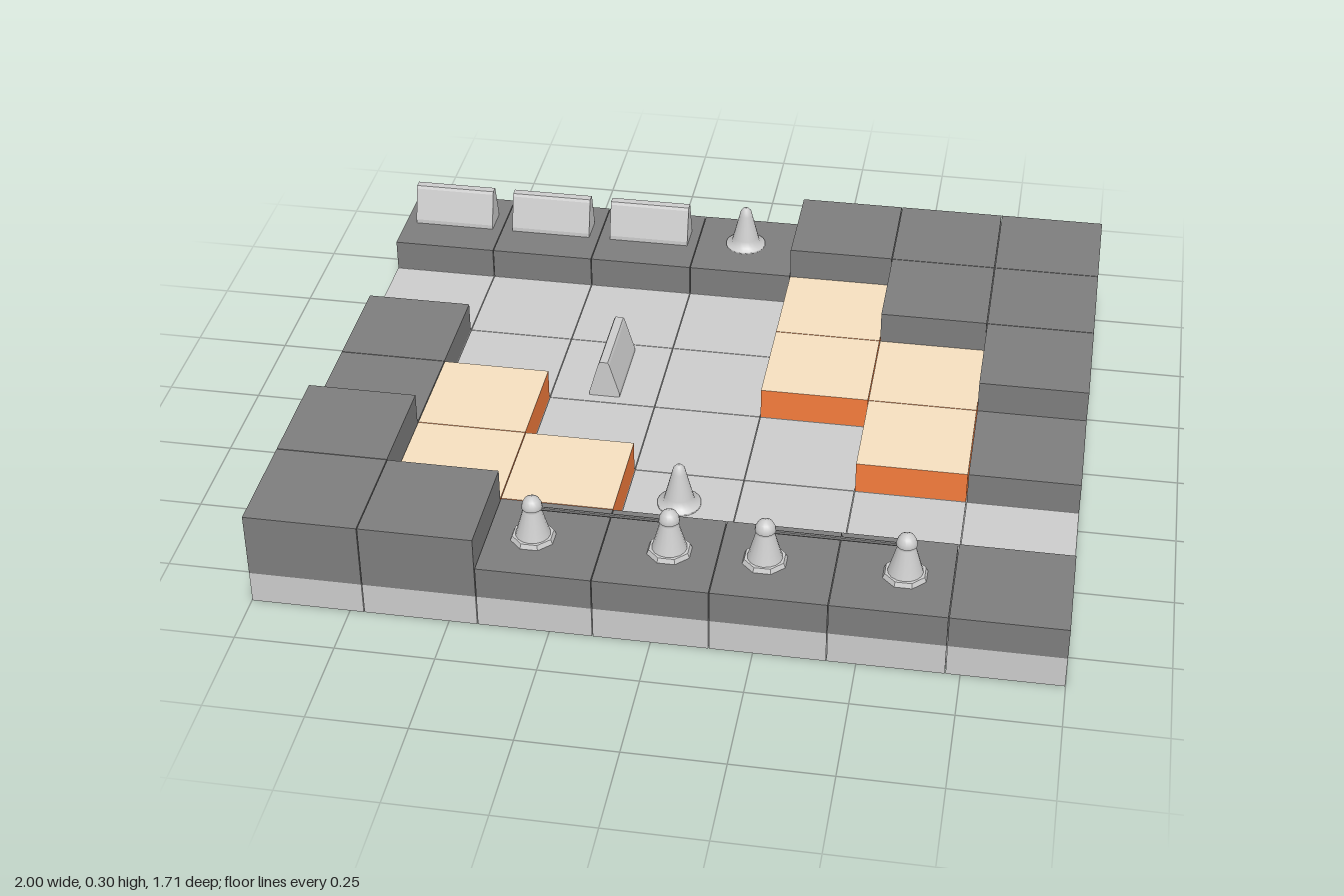
import * as THREE from 'three';

const CELL = 2 / 7, LAYER = 0.086, COLS = 7, ROWS = 6;

// Board seen from above, back row first: . floor, s sand, 2 low wall, 3 high wall
const BOARD = [
  '2222333',
  '....s33',
  '2...ss3',
  '2s...s2',
  '3ss....',
  '3322222',
];

const mat = (color) => new THREE.MeshStandardMaterial({ color, flatShading: true });
const light = mat(0xcccccc);
const dark = mat(0x7d7d7d);
const sand = mat(0xf5dfbf);
const orange = mat(0xf47c3c);
const smooth = new THREE.MeshStandardMaterial({ color: 0xcccccc });

function add(parent, name, geometry, material, x = 0, y = 0, z = 0) {
  const mesh = new THREE.Mesh(geometry, material);
  mesh.name = name;
  mesh.position.set(x, y, z);
  parent.add(mesh);
  return mesh;
}

const lathe = (points, sides) =>
  new THREE.LatheGeometry(points.map(([r, y]) => new THREE.Vector2(r, y)), sides);

// Stackable tiles, one column of boxes per board cell
function makeBoard(group) {
  const box = new THREE.BoxGeometry(CELL - 0.002, LAYER, CELL - 0.002);
  const sandMats = [orange, orange, sand, orange, orange, orange];
  for (let r = 0; r < ROWS; r++) {
    for (let c = 0; c < COLS; c++) {
      const kind = BOARD[r][c];
      const x = (c - (COLS - 1) / 2) * CELL;
      const z = (r - (ROWS - 1) / 2) * CELL;
      add(group, 'floorTile', box, light, x, LAYER / 2, z);
      if (kind === 's') add(group, 'sandTile', box, sandMats, x, LAYER * 1.5, z);
      const levels = kind === '2' || kind === '3' ? Number(kind) : 1;
      for (let i = 1; i < levels; i++) {
        add(group, 'wallBlock', box, dark, x, LAYER * (i + 0.5), z);
      }
    }
  }
}

// Traffic cone: round flange, tapered body, rounded tip
const coneGeometry = lathe([
  [0, 0], [0.056, 0], [0.056, 0.008], [0.041, 0.011], [0.036, 0.03],
  [0.018, 0.1], [0.015, 0.113], [0.008, 0.121], [0, 0.123],
], 20);

// Barrier post: eight-sided foot, tapered stem and domed cap
const footGeometry = new THREE.CylinderGeometry(0.052, 0.057, 0.012, 8);
const stemGeometry = lathe([
  [0.044, 0.01], [0.038, 0.03], [0.023, 0.084], [0.023, 0.09],
  [0.026, 0.092], [0.024, 0.104], [0.018, 0.115], [0.009, 0.121], [0, 0.123],
], 16);

function makePost(x, y, z) {
  const post = new THREE.Group();
  post.name = 'barrierPost';
  add(post, 'postFoot', footGeometry, light, 0, 0.006, 0).rotation.y = Math.PI / 8;
  add(post, 'postStem', stemGeometry, smooth);
  post.position.set(x, y, z);
  return post;
}

// Road barrier: tapered section extruded along its length
function makeBarrierGeometry() {
  const length = 0.226;
  const half = [[0.041, 0], [0.041, 0.012], [0.015, 0.1], [0.011, 0.108]];
  const points = [...half, ...half.map(([x, y]) => [-x, y]).reverse()];
  const shape = new THREE.Shape(points.map(([x, y]) => new THREE.Vector2(x, y)));
  const geometry = new THREE.ExtrudeGeometry(shape, { depth: length, bevelEnabled: false });
  return geometry.translate(0, 0, -length / 2);
}

export function createModel() {
  const group = new THREE.Group();
  group.name = 'trackBoard';
  makeBoard(group);

  // Cones on the back wall and on the floor
  add(group, 'cone', coneGeometry, smooth, -0.005, LAYER * 2, -0.72);
  add(group, 'cone', coneGeometry, smooth, -0.005, LAYER, 0.41);

  // Barriers: three along the back wall, one turned on the floor
  const barrier = makeBarrierGeometry();
  for (const x of [-0.855, -0.57, -0.283]) {
    add(group, 'barrier', barrier, light, x, LAYER * 2, -0.728).rotation.y = Math.PI / 2;
  }
  add(group, 'barrier', barrier, light, -0.285, LAYER, -0.143);

  // Pairs of posts joined by a thin rail on the front wall
  for (const [x0, x1] of [[-0.315, 0.023], [0.257, 0.597]]) {
    for (const x of [x0, x1]) group.add(makePost(x, LAYER * 2, 0.71));
    const rail = new THREE.CylinderGeometry(0.005, 0.005, x1 - x0, 8);
    add(group, 'rail', rail, dark, (x0 + x1) / 2, 0.261, 0.71).rotation.z = Math.PI / 2;
  }
  return group;
}
